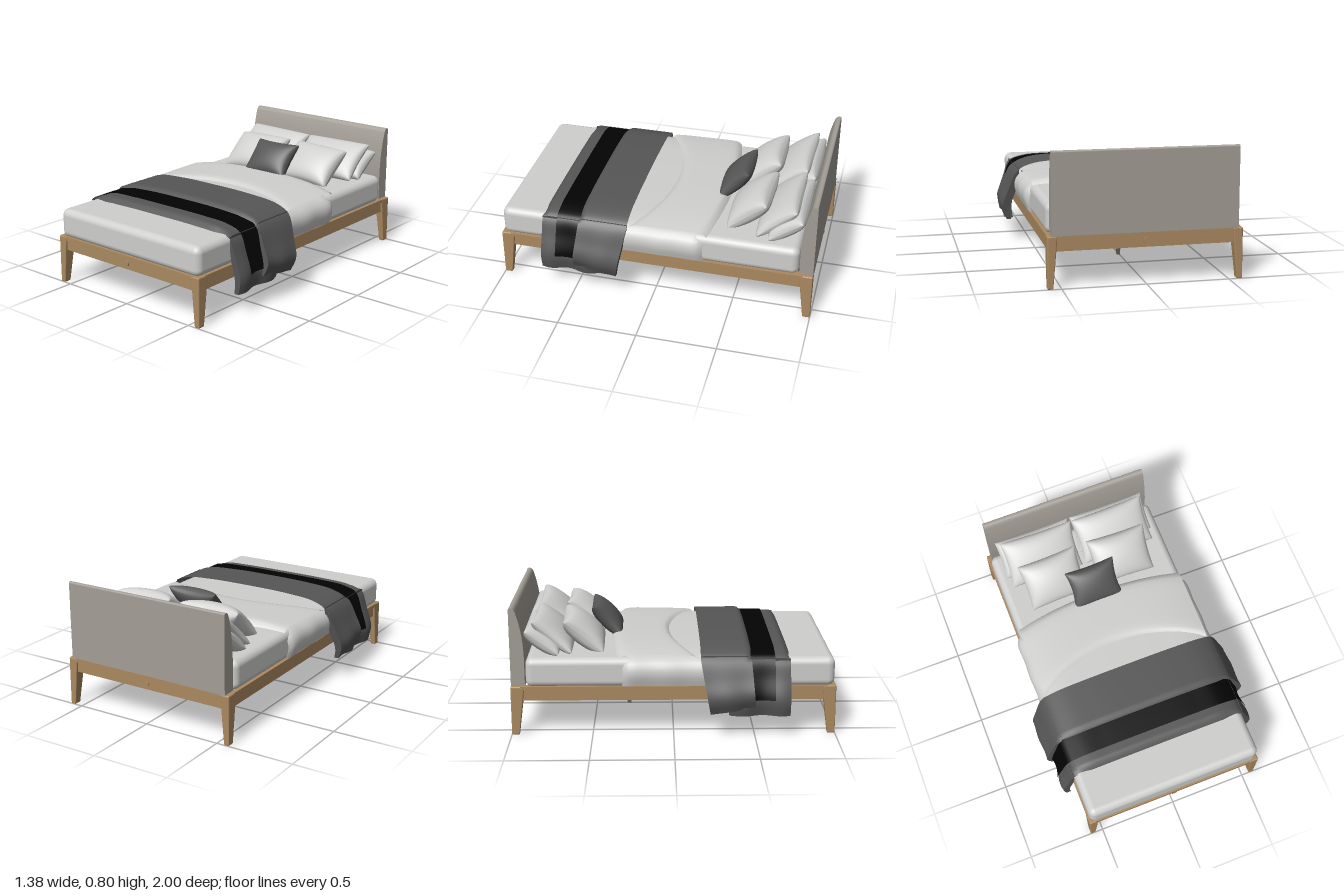
import * as THREE from 'three';
import { RoundedBoxGeometry } from 'three/addons/geometries/RoundedBoxGeometry.js';

const mat = (name, color, side = THREE.FrontSide) => {
  const m = new THREE.MeshStandardMaterial({ color, side });
  m.name = name;
  return m;
};

// Grid surface: f(u, v) returns [x, y, z] with u, v in 0..1
function sheet(nu, nv, f) {
  const g = new THREE.PlaneGeometry(1, 1, nu, nv);
  const p = g.attributes.position, uv = g.attributes.uv;
  for (let i = 0; i < p.count; i++) p.setXYZ(i, ...f(uv.getX(i), uv.getY(i)));
  g.computeVertexNormals();
  return g;
}

// Symmetric drape profile across the bed from points on the left half
function drape(half) {
  const left = half.map(([x, y]) => new THREE.Vector3(x, y, 0));
  const right = left.slice(1).reverse().map(p => new THREE.Vector3(-p.x, p.y, 0));
  return new THREE.CatmullRomCurve3([...right, ...left]);
}

export function createModel() {
  const bed = new THREE.Group();
  bed.name = 'bed';
  const wood = mat('wood', 0xab8a61);
  const metal = mat('supportLeg', 0x675f57);
  const upholstery = mat('upholstery', 0xa39e96);
  const linen = mat('linen', 0xcfcfce, THREE.DoubleSide);
  const grey = mat('greyFabric', 0x565656, THREE.DoubleSide);
  const black = mat('blackFabric', 0x030303, THREE.DoubleSide);

  const add = (name, geo, material, x = 0, y = 0, z = 0) => {
    const m = new THREE.Mesh(geo, material);
    m.name = name;
    m.position.set(x, y, z);
    bed.add(m);
    return m;
  };
  const box = (name, w, h, d, x, y, z) => add(name, new THREE.BoxGeometry(w, h, d), wood, x, y, z);

  // Tapered corner legs, straight on their outer faces
  for (const sx of [-1, 1]) for (const sz of [-1, 1]) {
    const g = new RoundedBoxGeometry(0.06, 0.31, 0.085, 2, 0.008);
    const p = g.attributes.position;
    for (let i = 0; i < p.count; i++) {
      const t = Math.min(1, Math.max(0, (0.09 - p.getY(i)) / 0.245));
      p.setX(i, sx * 0.03 + (p.getX(i) - sx * 0.03) * (1 - 0.45 * t));
      p.setZ(i, sz * 0.0425 + (p.getZ(i) - sz * 0.0425) * (1 - 0.45 * t));
    }
    g.computeVertexNormals();
    add('cornerLeg', g, wood, sx * 0.552, 0.155, sz * 0.9575);
  }

  // Recessed rails under a proud upper lip, and a centre bolt at each end
  for (const s of [-1, 1]) {
    box('sideRail', 0.03, 0.085, 1.88, s * 0.556, 0.262, 0);
    box('sideRailLip', 0.045, 0.024, 1.88, s * 0.5585, 0.298, 0);
    box('endRail', 1.08, 0.085, 0.03, 0, 0.262, s * 0.972);
    box('endRailLip', 1.08, 0.024, 0.045, 0, 0.298, s * 0.9755);
    const bolt = add('bolt', new THREE.CylinderGeometry(0.018, 0.018, 0.016, 16), wood, 0, 0.258, s * 0.988);
    bolt.rotation.x = Math.PI / 2;
  }

  // Slats and chamfered centre beam
  for (let i = 0; i < 11; i++) box('slat', 1.1, 0.045, 0.08, 0, 0.2675, -0.86 + i * 0.158);
  const beam = new THREE.Shape([
    [-0.96, 0.246], [-0.92, 0.225], [-0.8, 0.192], [0.8, 0.192], [0.92, 0.225], [0.96, 0.246],
  ].map(p => new THREE.Vector2(...p)));
  const beamMesh = add('centreBeam', new THREE.ExtrudeGeometry(beam, { depth: 0.07, bevelEnabled: false }), wood, -0.035);
  beamMesh.rotation.y = Math.PI / 2;

  // Centre support legs
  for (const z of [0.285, -0.285]) {
    const g = new THREE.CylinderGeometry(0.042, 0.017, 0.195, 4).toNonIndexed();
    g.rotateY(Math.PI / 4);
    g.computeVertexNormals();
    add('supportLeg', g, metal, 0.007, 0.0975, z).scale.x = 0.75;
  }

  // Headboard: flat back, front curving back towards the top
  const hb = new THREE.Shape();
  hb.moveTo(0.998, 0.305);
  hb.lineTo(0.998, 0.79);
  hb.quadraticCurveTo(0.997, 0.8, 0.985, 0.8);
  hb.quadraticCurveTo(0.966, 0.8, 0.957, 0.775);
  hb.quadraticCurveTo(0.914, 0.65, 0.912, 0.48);
  hb.lineTo(0.912, 0.305);
  const hbMesh = add('headboard', new THREE.ExtrudeGeometry(hb, { depth: 1.11, bevelEnabled: false, curveSegments: 14 }), upholstery, -0.555);
  hbMesh.rotation.y = Math.PI / 2;

  // Mattress
  add('mattress', new RoundedBoxGeometry(1.145, 0.187, 1.9, 5, 0.045), linen, 0, 0.3915, 0.042);

  // Duvet, swelling towards the head end and tucked along the sides
  const duvetCurve = drape([[0, 0.512], [0.25, 0.51], [0.45, 0.502], [0.55, 0.482], [0.595, 0.44], [0.604, 0.385], [0.585, 0.315]]);
  add('duvet', sheet(60, 28, (u, v) => {
    const p = duvetCurve.getPointAt(u);
    const edge = Math.min(1, v / 0.14);
    const round = Math.sqrt(1 - (1 - edge) ** 2);
    const head = -0.385 + 0.2 * Math.abs(p.x) ** 2;
    const x = p.x * (0.96 + 0.04 * round) + 0.004 * Math.sin(v * 17) * p.x;
    return [x, p.y - 0.045 * (1 - round) * (p.y > 0.46 ? 1 : 0.3), head + (0.3 - head) * v];
  }), linen);

  // Folded-back duvet flap with an arched front edge
  add('duvetFlap', sheet(48, 20, (u, v) => {
    const s = u * 2 - 1, x = s * 0.565;
    const front = -0.015 + 0.17 * s * s, back = -0.395 + 0.06 * s * s;
    const roll = Math.sqrt(Math.max(0, 1 - Math.abs(2 * v - 1) ** 7));
    const y = 0.505 - 0.022 * s ** 4 + roll * (0.03 - 0.012 * s * s + 0.01 * (1 - v));
    return [x, y, back + (front - back) * v];
  }), linen);

  // Folded throw: each layer drapes over the bed and its hanging ends are folded thick
  const lowerCurve = drape([[0, 0.522], [0.3, 0.52], [0.48, 0.51], [0.57, 0.476], [0.615, 0.36], [0.652, 0.23], [0.636, 0.135]]);
  const upperCurve = drape([[0, 0.557], [0.3, 0.552], [0.49, 0.533], [0.585, 0.488], [0.65, 0.35], [0.687, 0.235], [0.66, 0.15]]);
  const throwLayer = (name, curve, z0, z1, material, { crop = 0, lift = 0, hem = 0, skew = 0, flare = 0, sag = 0, ripple = 0, ends = [] }) => {
    const point = (t, v) => {
      const p = curve.getPointAt(crop + t * (1 - 2 * crop));
      const hang = Math.max(0, Math.min(1, (0.48 - p.y) / 0.33));
      const z = z0 + (z1 - z0) * v;
      const x = p.x + Math.sign(p.x) * (hang * ripple * Math.sin(z * 26) + (p.y < 0.5 ? lift : 0));
      const flat = Math.max(0, Math.min(1, (p.y - 0.478) / 0.03));
      const curl = sag * flat * Math.max(0, (v - 0.9) / 0.1) ** 2;
      return [x, p.y + lift - curl + hang * hem * v, z + hang * (skew * (1 - v) + flare * v)];
    };
    add(name, sheet(80, 20, point), material);
    for (const s of [-1, 1]) {
      const side = (v, w) => point(s > 0 ? 0.8 + 0.2 * v : 0.2 - 0.2 * v, w);
      const inner = (x, v) => s * (0.578 + (Math.abs(x) - 0.03 - 0.578) * v);
      for (const w of ends) add(name + 'End', sheet(4, 14, (u, v) => {
        const [x, y, z] = side(v, w);
        return [x + (inner(x, v) - x) * u, y, z];
      }), material);
      if (ends.length) add(name + 'Inside', sheet(12, 14, (u, v) => {
        const [x, y, z] = side(v, u);
        return [inner(x, v), y, z];
      }), material);
    }
  };
  throwLayer('throwLowerLayer', lowerCurve, 0.34, 0.715, grey, { sag: 0.03, ripple: -0.014, ends: [0, 1] });
  throwLayer('throwUpperLayer', upperCurve, 0.165, 0.475, grey, { hem: 0.045, skew: 0.06, flare: 0.025, sag: 0.02, ripple: 0.005, ends: [0, 1] });
  throwLayer('throwStripe', lowerCurve, 0.455, 0.62, black, { crop: 0.053, lift: 0.006, ripple: -0.014 });

  // Pillows: pinched cushions leaning back
  const pillow = (name, w, h, t, material, x, y, z, tilt, turn, pinch) => {
    const g = new THREE.Group();
    g.name = name;
    for (const s of [-1, 1]) {
      const face = new THREE.Mesh(sheet(20, 20, (u, v) => {
        const a = Math.sin((u - 0.5) * Math.PI), b = Math.sin((v - 0.5) * Math.PI);
        const puff = ((1 - a * a) * (1 - b * b)) ** 0.36;
        return [s * a * w / 2 * (1 - pinch * (1 - b * b)), b * h / 2 * (1 - pinch * (1 - a * a)), s * puff * t / 2];
      }), material);
      face.name = s > 0 ? 'cushionFront' : 'cushionBack';
      g.add(face);
    }
    g.position.set(x, y, z);
    g.rotation.set(-tilt, 0, turn);
    bed.add(g);
  };
  for (const s of [-1, 1]) {
    pillow('rearPillow', 0.51, 0.25, 0.16, linen, s * 0.262, 0.566, -0.81, 0.95, 0, 0.03);
    pillow('middlePillow', 0.49, 0.31, 0.14, linen, s * 0.25, 0.592, -0.745, 0.88, s * 0.02, 0.05);
    pillow('frontPillow', 0.4, 0.31, 0.17, linen, s * 0.235, 0.582, -0.56, 0.88, s * -0.03, 0.06);
  }
  pillow('accentCushion', 0.335, 0.265, 0.13, grey, -0.003, 0.608, -0.42, 0.75, 0.01, 0.1);

  return bed;
}
